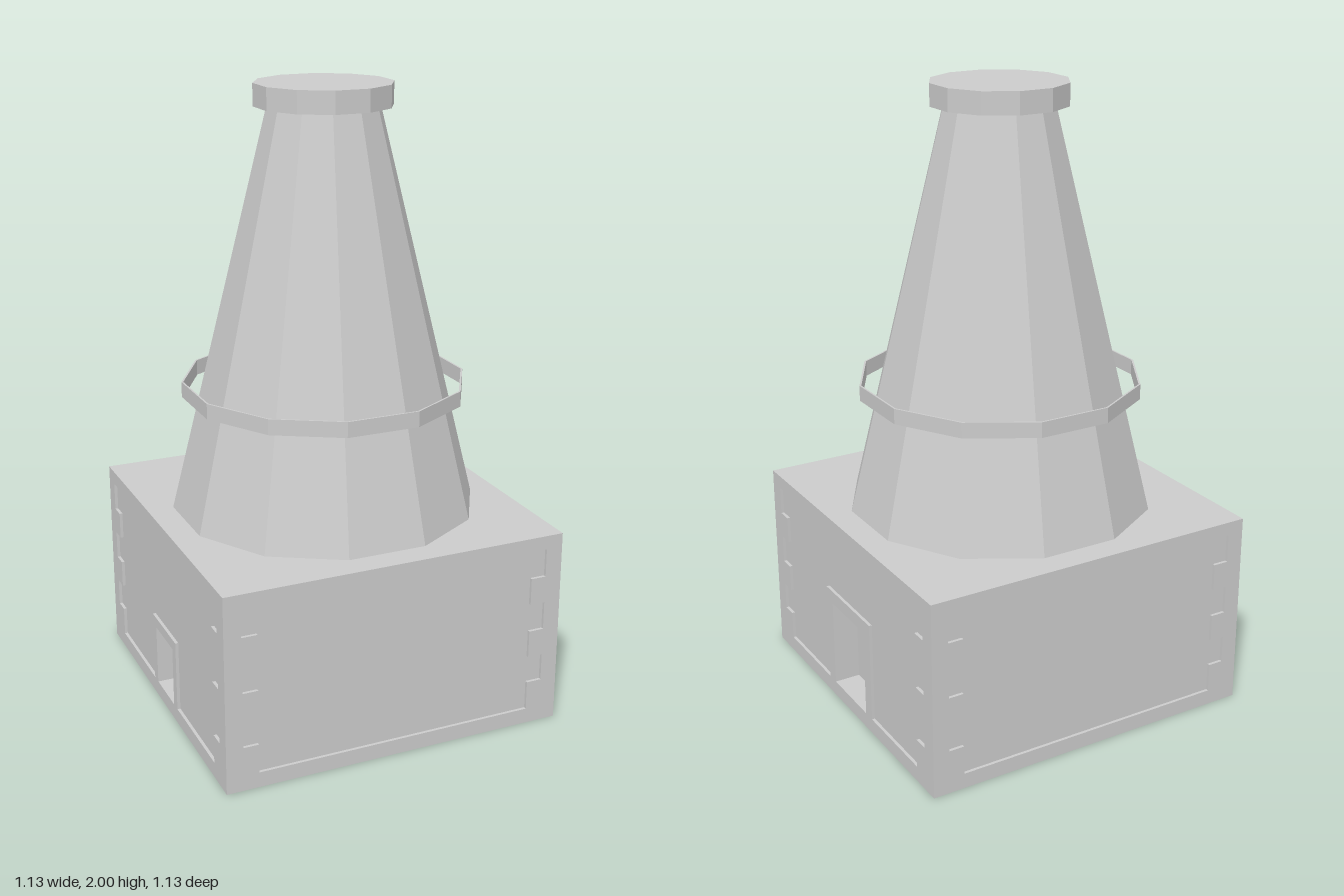
import * as THREE from 'three';

const HALF = 0.565, SKIN = 0.01, CORE = HALF - SKIN;
const FLOOR = 0.05, EAVE = 0.6, ROOF = 0.645;
const DOOR_DEPTH = 0.085;

// half widths and top heights of the door frames and their openings
const bigDoor = { frame: 0.155, frameTop: 0.385, open: 0.113, openTop: 0.34 };
const smallDoor = { frame: 0.115, frameTop: 0.285, open: 0.082, openTop: 0.25 };

export function createModel() {
  const model = new THREE.Group();
  const mat = new THREE.MeshStandardMaterial({ color: 0xcccccc, flatShading: true });

  const add = (name, geometry, parent = model) => {
    const mesh = new THREE.Mesh(geometry, mat);
    mesh.name = name;
    parent.add(mesh);
    return mesh;
  };
  const shapeOf = (pts) => new THREE.Shape(pts.map(([x, y]) => new THREE.Vector2(x, y)));

  // Wall facing: border with toothed corner stones around a sunken panel
  function facing(name, angle, halfWidth, door) {
    const shape = shapeOf([[-halfWidth, 0], [halfWidth, 0], [halfWidth, ROOF], [-halfWidth, ROOF]]);
    const levels = [FLOOR, 0.145, 0.235, 0.325, 0.418, 0.507, EAVE];
    const teeth = [];
    for (let i = 0; i < 6; i++) {
      const x = i % 2 ? 0.51 : 0.46;
      teeth.push([x, levels[i]], [x, levels[i + 1]]);
    }
    const panel = [...teeth, ...teeth.map(([x, y]) => [-x, y]).reverse()];
    if (door) {
      const { frame: f, frameTop: t, open: o, openTop: h } = door;
      panel.push([-f, FLOOR], [-f, t], [f, t], [f, FLOOR]);
      shape.holes.push(shapeOf([[-o, FLOOR], [o, FLOOR], [o, h], [-o, h]]));
    }
    shape.holes.push(shapeOf(panel));
    const geometry = new THREE.ExtrudeGeometry(shape, { depth: SKIN, bevelEnabled: false });
    geometry.translate(0, 0, CORE).rotateY(angle);
    add(name, geometry);
  }
  facing('frontFacing', 0, HALF);
  facing('backFacing', Math.PI, HALF);
  facing('leftFacing', Math.PI / 2, CORE, bigDoor);
  facing('rightFacing', -Math.PI / 2, CORE, smallDoor);

  // Wall core: stacked plan slabs, notched where the doorways are set in
  const core = new THREE.Group();
  core.name = 'wallCore';
  model.add(core);
  function slab(name, y0, y1, leftNotch, rightNotch) {
    const notch = (side, door) => {
      const inner = CORE - DOOR_DEPTH + SKIN, o = door.open;
      return [[CORE, -o], [inner, -o], [inner, o], [CORE, o]].map(([x, z]) => [side * x, side * z]);
    };
    const plan = [
      [CORE, -CORE], ...(leftNotch ? notch(1, bigDoor) : []),
      [CORE, CORE], [-CORE, CORE], ...(rightNotch ? notch(-1, smallDoor) : []),
      [-CORE, -CORE],
    ];
    const geometry = new THREE.ExtrudeGeometry(shapeOf(plan), { depth: y1 - y0, bevelEnabled: false });
    geometry.rotateX(-Math.PI / 2).translate(0, y0, 0);
    add(name, geometry, core);
  }
  slab('floor', FLOOR - 0.005, FLOOR, false, false);
  slab('lowerCore', FLOOR, smallDoor.openTop, true, true);
  slab('middleCore', smallDoor.openTop, bigDoor.openTop, true, false);
  slab('upperCore', bigDoor.openTop, ROOF, false, false);

  // Twelve-sided chimney with flat faces towards the walls
  const SIDES = 12, TURN = Math.PI / SIDES;
  const drum = (name, rTop, rBottom, y0, y1) => {
    const geometry = new THREE.CylinderGeometry(rTop, rBottom, y1 - y0, SIDES, 1, false, TURN);
    add(name, geometry.translate(0, (y0 + y1) / 2, 0));
  };
  drum('kilnCone', 0.176, 0.495, ROOF, 1.93);
  drum('chimneyCap', 0.217, 0.217, 1.93, 2);

  // Thin iron band standing clear of the cone
  const band = [[0.45, 1.02], [0.456, 1.02], [0.456, 1.07], [0.45, 1.07], [0.45, 1.02]]
    .map(([r, y]) => new THREE.Vector2(r, y));
  add('ironBand', new THREE.LatheGeometry(band, SIDES, TURN));

  return model;
}
